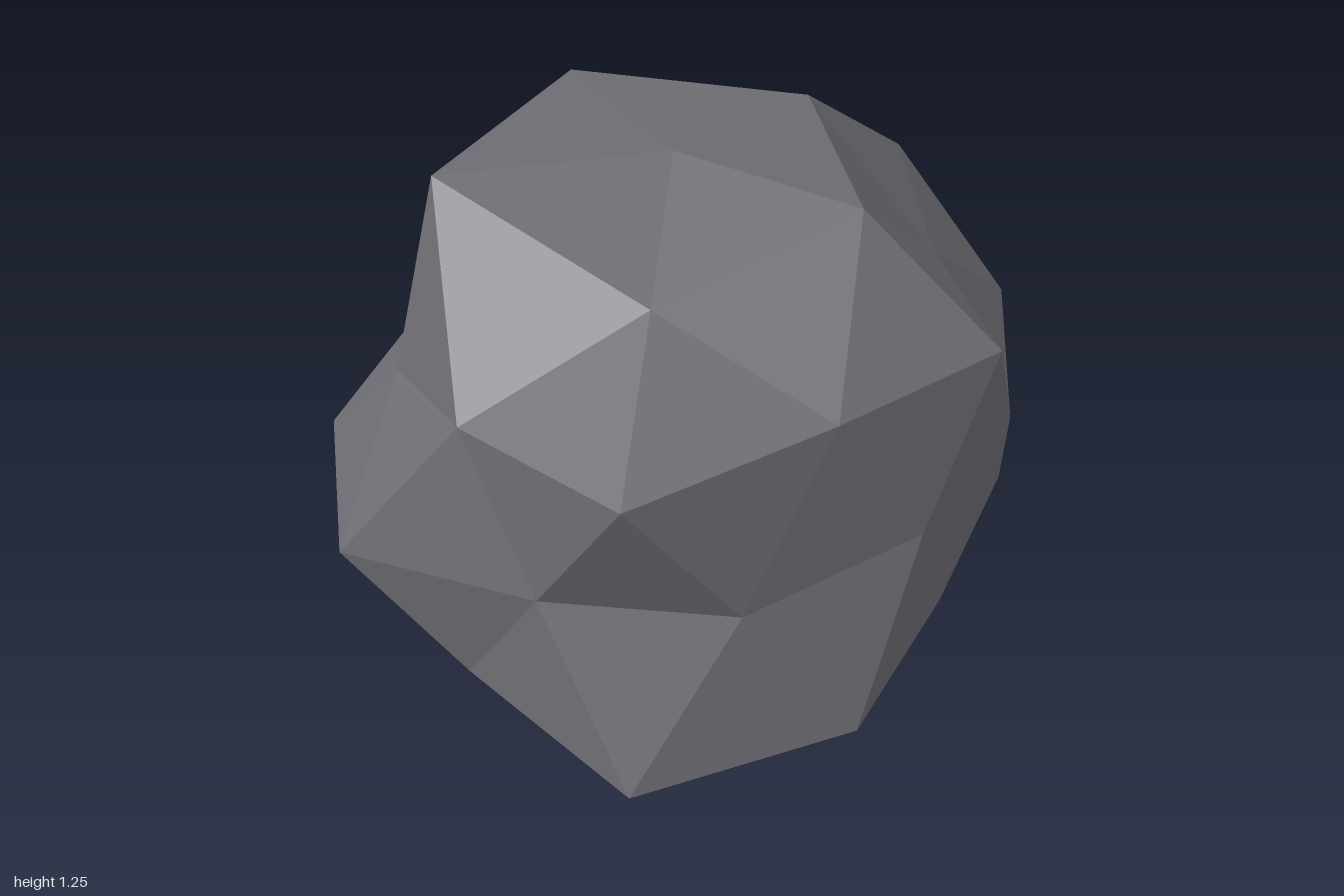
import * as THREE from 'three';

// Rings of a once-subdivided icosahedron standing on its pole:
// height and radius on the unit sphere, start angle in degrees, and the bulge of each point.
const RINGS = [
  { name: 'top', y: 1, r: 0, start: 0, bulge: [0.943] },
  { name: 'crown', y: 0.851, r: 0.526, start: 0, bulge: [1.027, 1.0, 0.846, 1.15, 1.11] },
  { name: 'upper', y: 0.447, r: 0.894, start: 0, bulge: [1.096, 1.03, 1.079, 0.816, 0.79] },
  { name: 'upperMid', y: 0.526, r: 0.851, start: 36, bulge: [0.857, 0.955, 0.893, 0.787, 1.09] },
  { name: 'waist', y: 0, r: 1, start: 18,
    bulge: [1.136, 0.935, 0.868, 0.867, 0.8, 0.967, 0.952, 0.869, 0.867, 0.923] },
  { name: 'lowerMid', y: -0.526, r: 0.851, start: 0, bulge: [1.046, 0.95, 1.11, 0.81, 0.98] },
  { name: 'lower', y: -0.447, r: 0.894, start: 36, bulge: [1.107, 1.07, 0.872, 0.963, 0.95] },
  { name: 'base', y: -0.851, r: 0.526, start: 36, bulge: [0.9, 0.9, 0.9, 0.9, 0.9] },
  { name: 'bottom', y: -1, r: 0, start: 0, bulge: [0.9] },
];

// Place a ring's points, squashed in y and z and cut flat at the ground
function ringPoints({ y, r, start, bulge }) {
  return bulge.map((b, i) => {
    const a = THREE.MathUtils.degToRad(start + (360 / bulge.length) * i);
    return [
      -0.08 + b * r * Math.cos(a),
      Math.max(0, 0.447 + b * y * 0.82),
      -0.02 + b * r * Math.sin(a) * 0.88,
    ];
  });
}

function rockGeometry() {
  const p = {};
  for (const ring of RINGS) p[ring.name] = ringPoints(ring);
  const positions = [];
  const face = (a, b, c) => positions.push(...a, ...c, ...b);

  // One fifth of the rock at a time, from top to bottom
  for (let k = 0; k < 5; k++) {
    const n = (k + 1) % 5;
    const top = p.top[0], bottom = p.bottom[0];
    const c0 = p.crown[k], c1 = p.crown[n];
    const u0 = p.upper[k], u1 = p.upper[n], um = p.upperMid[k];
    const w0 = p.waist[2 * k], w1 = p.waist[2 * k + 1], w2 = p.waist[2 * n];
    const l0 = p.lower[k], l1 = p.lower[n], lm = p.lowerMid[n];
    const b0 = p.base[k], b1 = p.base[n];

    // crown
    face(top, c0, c1);
    face(c0, u0, um);
    face(c0, um, c1);
    face(c1, um, u1);
    // sides
    face(u0, w0, um);
    face(um, w0, w1);
    face(um, w1, u1);
    face(w0, l0, w1);
    face(u1, w1, w2);
    face(w1, l0, lm);
    face(w1, lm, w2);
    face(w2, lm, l1);
    // underside
    face(l0, b0, lm);
    face(lm, b0, b1);
    face(lm, b1, l1);
    face(b0, bottom, b1);
  }

  const geometry = new THREE.BufferGeometry();
  geometry.setAttribute('position', new THREE.Float32BufferAttribute(positions, 3));
  geometry.computeVertexNormals(); // unshared corners give flat facets
  return geometry;
}

export function createModel() {
  const stone = new THREE.MeshStandardMaterial({ color: 0x6e6d73 });
  stone.name = 'grey stone';
  const rock = new THREE.Mesh(rockGeometry(), stone);
  rock.name = 'rock';
  const group = new THREE.Group();
  group.name = 'boulder';
  group.add(rock);
  return group;
}
